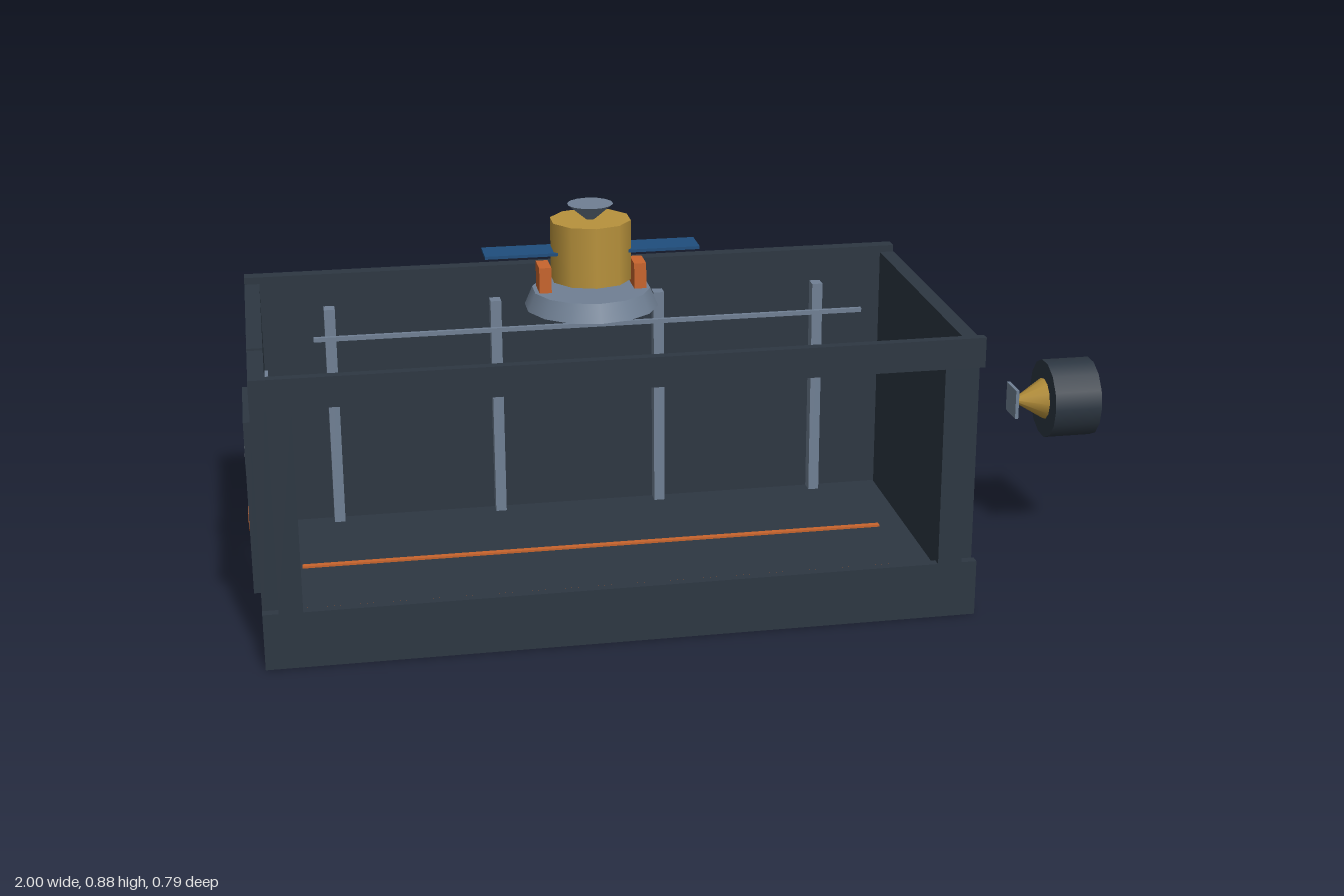
import * as THREE from 'three';

const mat = (name, color) => {
  const m = new THREE.MeshStandardMaterial({ color });
  m.name = name;
  return m;
};

export function createModel() {
  const root = new THREE.Group();
  root.name = 'hangar';
  const hull = mat('dark hull', 0x2d3742);
  const steel = mat('grey steel', 0x708094);
  const orange = mat('orange', 0xc8642d);
  const gold = mat('gold foil', 0xb8923c);
  const blue = mat('solar blue', 0x1f4e7d);

  const add = (name, geo, material, parent = root) => {
    const mesh = new THREE.Mesh(geo, material);
    mesh.name = name;
    parent.add(mesh);
    return mesh;
  };
  // Box given by its minimum and maximum on each axis
  const box = (name, m, x0, x1, y0, y1, z0, z1, parent) => {
    const b = add(name, new THREE.BoxGeometry(x1 - x0, y1 - y0, z1 - z0), m, parent);
    b.position.set((x0 + x1) / 2, (y0 + y1) / 2, (z0 + z1) / 2);
    return b;
  };
  // Cylinder or cone along x, r0 at x0 and r1 at x1
  const tubeX = (name, m, x0, x1, r0, r1, y, z, sides, parent) => {
    const g = new THREE.CylinderGeometry(r1, r0, x1 - x0, sides).rotateZ(-Math.PI / 2);
    const c = add(name, g, m, parent);
    c.position.set((x0 + x1) / 2, y, z);
    return c;
  };
  // Cylinder or cone along y, r0 at the bottom and r1 at the top
  const tubeY = (name, m, y0, y1, r0, r1, x, z, sides, parent) => {
    const c = add(name, new THREE.CylinderGeometry(r1, r0, y1 - y0, sides), m, parent);
    c.position.set(x, (y0 + y1) / 2, z);
    return c;
  };
  const group = (name) => {
    const g = new THREE.Group();
    g.name = name;
    root.add(g);
    return g;
  };

  // Floor, back wall and right end wall
  box('floor', hull, -0.98, 0.61, 0, 0.035, -0.397, 0.397);
  box('backWall', hull, -0.98, 0.61, 0, 0.66, -0.397, -0.363);
  box('hatchWall', hull, 0.575, 0.61, 0.035, 0.645, -0.358, 0.358);

  // Left end wall with a doorway
  const doorWall = group('doorWall');
  for (const s of [-1, 1]) {
    const z = s * 0.2525;
    box('doorWallSide', hull, -0.98, -0.945, 0.035, 0.645, z - 0.1055, z + 0.1055, doorWall);
  }
  box('doorWallTop', hull, -0.98, -0.945, 0.49, 0.645, -0.147, 0.147, doorWall);
  box('doorWallCap', hull, -0.98, -0.945, 0.645, 0.65, 0.06, 0.15, doorWall);
  box('doorLintel', steel, -0.947, -0.937, 0.485, 0.5, -0.145, 0.145, doorWall);
  box('doorSill', steel, -0.947, -0.937, 0.035, 0.055, -0.145, 0.145, doorWall);
  box('doorBeacon', gold, -0.943, -0.923, 0.498, 0.517, -0.017, 0.017, doorWall);

  // Door slab hung outside the doorway
  const door = group('door');
  box('doorPanel', hull, -0.998, -0.98, 0.06, 0.47, -0.123, 0.12, door);
  tubeX('doorPort', hull, -1, -0.978, 0.05, 0.05, 0.34, -0.03, 12, door);
  tubeX('doorHandle', orange, -1, -0.976, 0.03, 0.03, 0.214, 0.045, 6, door);

  // Front window frame
  const frame = group('frontFrame');
  box('lowerBeam', hull, -0.98, 0.61, 0, 0.13, 0.375, 0.397, frame);
  box('upperBeam', hull, -0.98, 0.61, 0.592, 0.66, 0.375, 0.397, frame);
  box('framePost', hull, -0.945, -0.893, 0.13, 0.592, 0.375, 0.397, frame);
  box('framePost', hull, 0.52, 0.575, 0.13, 0.592, 0.375, 0.397, frame);

  // Ribs and stripe on the back wall
  for (const x of [-0.785, -0.387, 0.012, 0.41]) {
    box('wallRib', steel, x - 0.013, x + 0.013, 0.035, 0.58, -0.364, -0.33);
  }
  box('wallStripe', orange, -0.785, 0.41, 0.382, 0.398, -0.33, -0.32);

  // Floor guide lines and overhead rail
  for (const z of [-0.065, 0.183]) {
    box('floorLine', orange, -0.885, 0.51, 0.034, 0.04, z - 0.007, z + 0.007);
  }
  box('overheadRail', steel, -0.83, 0.46, 0.576, 0.586, -0.107, -0.097);

  // Round docking hatch on the right end
  const hatch = group('dockingHatch');
  const ring = tubeX('hatchRing', steel, 0.61, 0.652, 0.148, 0.17, 0.347, 0, 15, hatch);
  const disc = tubeX('hatchDisc', hull, 0.64, 0.682, 0.13, 0.13, 0.347, 0, 15, hatch);
  ring.rotation.x = disc.rotation.x = Math.PI / 2;
  // Turn each polygon so that a corner points straight down
  for (const m of [ring, disc]) {
    m.rotation.x = 0;
    m.geometry.rotateX(Math.PI / 2);
  }
  box('hatchLatch', orange, 0.68, 0.702, 0.227, 0.249, -0.016, 0.016, hatch);
  box('hatchLatch', orange, 0.68, 0.702, 0.453, 0.475, -0.016, 0.016, hatch);
  box('hatchBeacon', gold, 0.65, 0.682, 0.476, 0.496, -0.01, 0.01, hatch);

  // Small capsule approaching the hatch
  const pod = group('approachingPod');
  tubeX('podBody', hull, 0.886, 1, 0.094, 0.094, 0.369, 0.014, 14, pod);
  tubeX('podNose', gold, 0.812, 0.886, 0.004, 0.05, 0.369, 0.014, 12, pod);
  box('podProbe', steel, 0.806, 0.814, 0.334, 0.404, -0.021, 0.049, pod);

  // Satellite held above the open roof
  const sat = group('satellite');
  const cx = -0.19, cz = -0.087;
  tubeY('cradle', steel, 0.635, 0.677, 0.155, 0.137, cx, cz, 14, sat);
  tubeY('satelliteBody', gold, 0.7, 0.84, 0.094, 0.094, cx, cz, 10, sat);
  tubeY('dish', steel, 0.838, 0.876, 0.008, 0.053, cx, cz, 14, sat);
  for (const s of [-1, 1]) {
    const clamp = box('clamp', orange, -0.014, 0.014, 0.677, 0.737, cz - 0.033, cz + 0.033, sat);
    clamp.position.x = cx + s * 0.11;
    const panel = box('solarPanel', blue, -0.084, 0.084, 0.766, 0.773, cz - 0.04, cz + 0.04, sat);
    panel.position.x = cx + s * 0.164;
  }
  return root;
}
